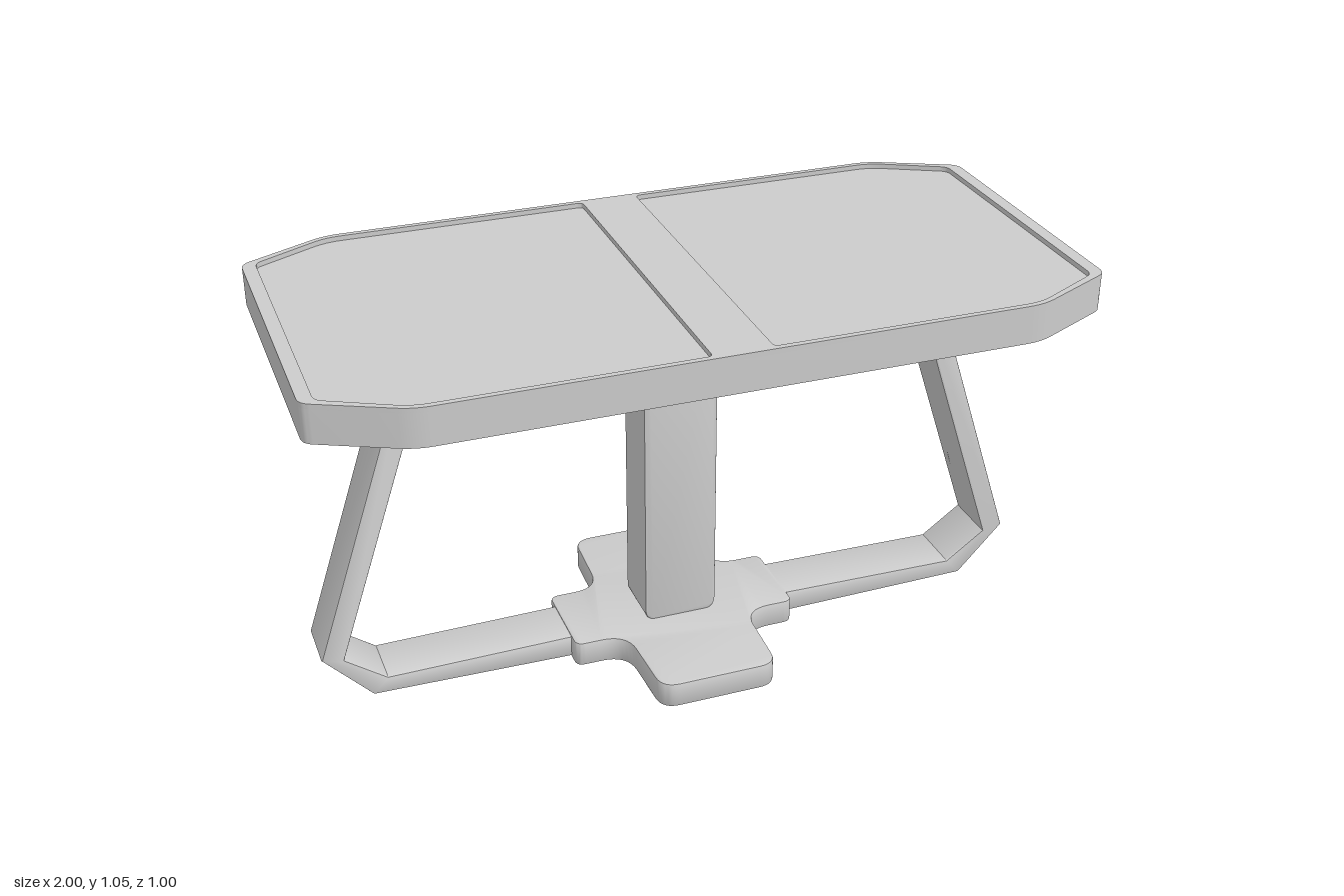
import * as THREE from 'three';
import { toCreasedNormals } from 'three/addons/utils/BufferGeometryUtils.js';

const material = new THREE.MeshStandardMaterial({ color: 0xcccccc });

// Closed polygon path whose corners [x, y, r] are rounded by about r
function roundedPath(corners, PathType = THREE.Shape) {
  const path = new PathType();
  const n = corners.length;
  corners.forEach(([x, y, r = 0], i) => {
    const here = new THREE.Vector2(x, y);
    const toward = ([px, py]) => new THREE.Vector2(px, py).sub(here).setLength(r).add(here);
    const a = toward(corners[(i + n - 1) % n]);
    const b = toward(corners[(i + 1) % n]);
    if (i === 0) path.moveTo(a.x, a.y);
    else path.lineTo(a.x, a.y);
    if (r > 0) path.quadraticCurveTo(x, y, b.x, b.y);
  });
  path.closePath();
  return path;
}

// Extrusion of total depth, with a small edge bevel inside the outline
function extrude(shape, depth, bevel = 0) {
  const geometry = new THREE.ExtrudeGeometry(shape, {
    depth: depth - 2 * bevel,
    curveSegments: 8,
    bevelEnabled: bevel > 0,
    bevelThickness: bevel,
    bevelSize: bevel,
    bevelOffset: -bevel,
    bevelSegments: 2,
  });
  geometry.translate(0, 0, bevel);
  return toCreasedNormals(geometry, 0.6);
}

// Horizontal slab lying between y0 and y1
const slab = (shape, y0, y1, bevel) =>
  extrude(shape, y1 - y0, bevel).rotateX(-Math.PI / 2).translate(0, y0, 0);

// Upright profile centred on z = 0
const upright = (shape, width, bevel) => extrude(shape, width, bevel).translate(0, 0, -width / 2);

// Repeats one quarter (from the +x side to the +y side) in all four quadrants
function fourfold(quarter) {
  const half = [...quarter, ...quarter.map(([x, y, r]) => [-x, y, r]).reverse()];
  return [...half, ...half.map(([x, y, r]) => [x, -y, r]).reverse()];
}

export function createModel() {
  const model = new THREE.Group();
  model.name = 'table';
  const add = (name, geometry) => {
    const mesh = new THREE.Mesh(geometry, material);
    mesh.name = name;
    model.add(mesh);
  };

  // Table top: octagonal slab under a raised rim framing two shallow panels
  const outline = fourfold([[1, 0.39, 0.025], [0.77, 0.5, 0.04]]);
  add('tableTop', slab(roundedPath(outline), 0.955, 1.042));
  const rim = roundedPath(outline);
  for (const side of [1, -1]) {
    rim.holes.push(roundedPath([
      [0.075, -0.485, 0.015], [0.77, -0.485, 0.04], [0.965, -0.385, 0.02],
      [0.965, 0.385, 0.02], [0.77, 0.485, 0.04], [0.075, 0.485, 0.015],
    ].map(([x, y, r]) => [side * x, y, r]), THREE.Path));
  }
  add('topRim', slab(rim, 1.042, 1.055));

  // Centre post with rounded ends
  add('centrePost', upright(roundedPath([
    [-0.1, 0.066, 0.035], [0.1, 0.066, 0.035], [0.1, 0.958, 0.035], [-0.1, 0.958, 0.035],
  ]), 0.154, 0.006));

  // Bent strip forming both legs and the floor bar
  const outer = [[0.25, 0.004], [0.845, 0.014], [0.97, 0.148], [0.7, 0.96]];
  const inner = [[0.638, 0.96], [0.912, 0.138], [0.805, 0.06], [0.25, 0.068]];
  const right = [...outer, ...inner];
  const mirror = ([x, y]) => [-x, y];
  add('legFrame', upright(roundedPath([
    ...right, ...inner.map(mirror).reverse(), ...outer.map(mirror).reverse(),
  ]), 0.154, 0.006));

  // Cross-shaped foot plate with soft inner corners
  add('footPlate', slab(roundedPath(fourfold([
    [0.31, 0.122, 0.025], [0.17, 0.122, 0.07], [0.16, 0.375, 0.05],
  ])), 0, 0.07, 0.005));

  return model;
}
